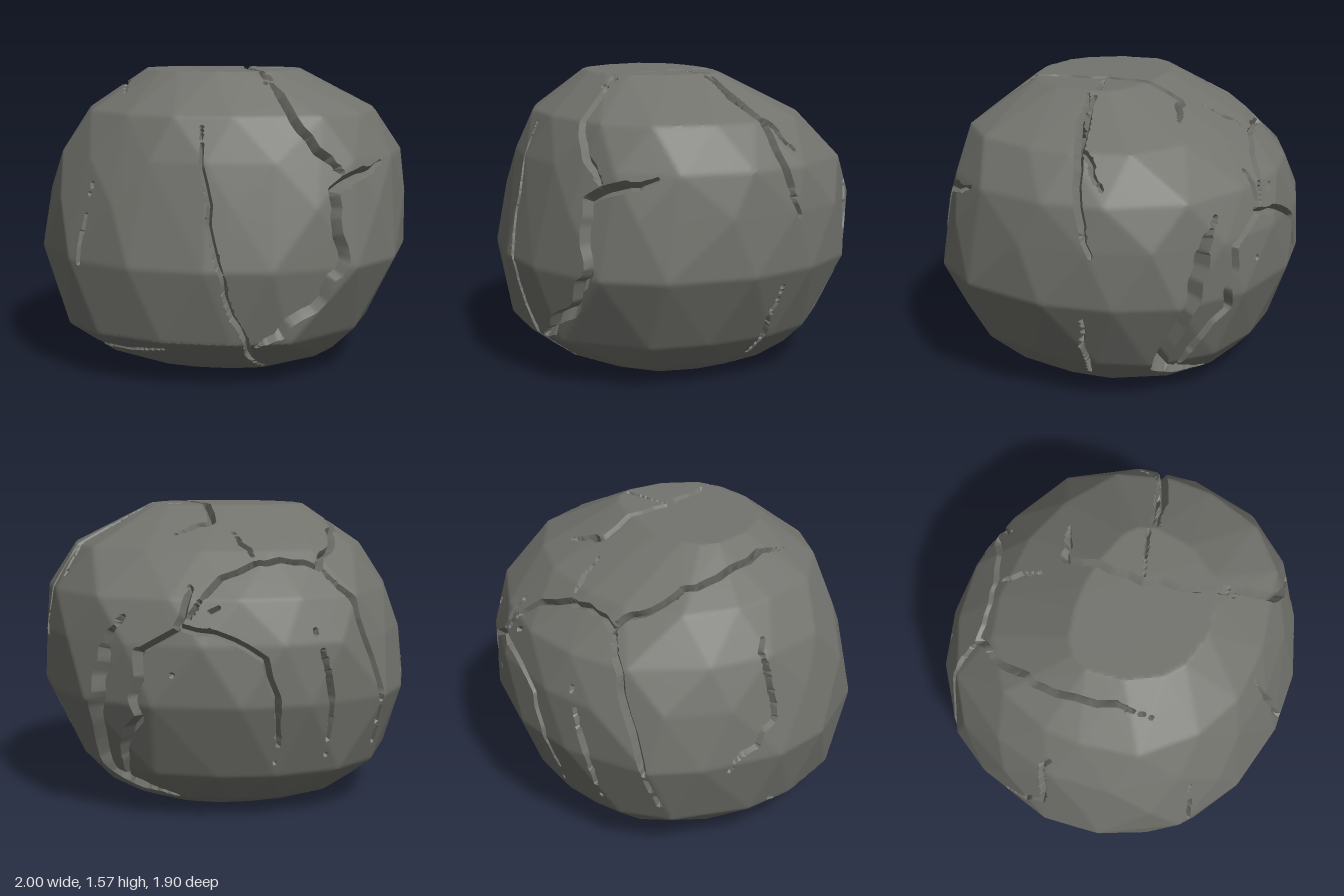
import * as THREE from 'three';
import { mergeVertices, toCreasedNormals } from 'three/addons/utils/BufferGeometryUtils.js';
import { ConvexGeometry } from 'three/addons/geometries/ConvexGeometry.js';

const V = (x, y, z) => new THREE.Vector3(x, y, z);
const { lerp, clamp } = THREE.MathUtils;
const MIDDLE = 0.78; // height of the centre the rock is shaped around

// Small seeded random, 0..1
let seed = 11;
const rnd = () => ((seed = (seed * 16807) % 2147483647) / 2147483647);

// Body sections: height, reach to -x, +x, -z, +z
const SECTIONS = [
  [0, 0.48, 0.47, 0.43, 0.46],
  [0.09, 0.7, 0.66, 0.67, 0.68],
  [0.24, 0.9, 0.8, 0.81, 0.88],
  [0.62, 1, 1, 0.95, 0.95],
  [0.92, 0.95, 1, 0.95, 0.89],
  [1.14, 0.88, 0.97, 0.87, 0.83],
  [1.36, 0.74, 0.84, 0.63, 0.75],
  [1.57, 0.42, 0.42, 0.2, 0.47],
];

// Crack paths seen from each side: half width, then u, v pairs
const FRONT = [
  [0.016, -0.03, 1.31, 0.02, 0.85, 0.14, 0.38, 0.27, 0.03],
  [0.032, 0.25, 0.23, 0.53, 0.42, 0.68, 0.66, 0.62, 1, 0.85, 1.12],
  [0.026, 0.27, 1.55, 0.45, 1.3, 0.69, 1.04],
  [0.012, -0.59, 1.03, -0.7, 0.5],
  [0.02, -0.9, 0.26, -0.7, 0.13, -0.22, 0.19],
];
const SIDE = [
  [0.024, 0, 1.56, -0.15, 1.3, -0.27, 0.9],
  [0.016, -0.2, 0.57, -0.12, 0.05],
  [0.045, -0.75, 1.05, -0.7, 0.65, -0.48, 0.2, -0.6, 0.1],
  [0.028, -0.87, 1.1, -0.8, 0.55, -0.5, 0.15],
];
const TOP = [
  [0.02, 0.33, -0.9, -0.1, -0.68, -0.42, -0.63, -0.52, -0.4, -0.56, -0.1, -0.47, 0.4],
  [0.018, -0.1, -0.68, 0, -0.46],
  [0.022, 0.3, -0.44, 0.1, -0.36, 0.12, 0.05, 0.27, 0.5],
  [0.016, 0.12, 0.06, 0.78, -0.13, 0.87, -0.3],
];
const BACK = [
  [0.022, -0.02, 0.03, 0.12, -0.41, 0.27, -0.85],
  [0.022, -0.19, -0.34, -0.07, -0.86],
  [0.02, -0.64, 0.08, -0.75, -0.1, -0.44, -0.4, -0.33, -0.82],
  [0.018, 0.66, 0.09, 0.76, -0.3, 0.58, -0.62],
];

// Facet planes of the convex body, around its centre
function bodyPlanes() {
  const pts = [];
  SECTIONS.forEach(([y, xn, xp, zn, zp], row) => {
    const stagger = row % 2 ? 0 : 0.5;
    for (let i = 0; i < 16; i++) {
      const onAxis = !stagger && i % 4 === 0;
      const a = ((i + stagger + (onAxis ? 0 : (rnd() - 0.5) * 0.4)) / 16) * Math.PI * 2;
      const c = Math.cos(a), s = Math.sin(a);
      const n = c > 0 && s > 0 ? 2.6 : 2.25;
      const k = (Math.abs(c) ** n + Math.abs(s) ** n) ** (-1 / n) * (onAxis ? 1 : 0.975 + rnd() * 0.025);
      pts.push(V(c * k * (c > 0 ? xp : xn), y - MIDDLE, s * k * (s > 0 ? zp : zn)));
    }
  });
  const p = new ConvexGeometry(pts).attributes.position;
  const planes = [];
  for (let i = 0; i < p.count; i += 3) {
    const [a, b, c] = [0, 1, 2].map((j) => V().fromBufferAttribute(p, i + j));
    const n = b.sub(a).cross(c.sub(a));
    if (n.length() < 1e-6) continue;
    n.normalize();
    planes.push({ n, d: n.dot(a) });
  }
  return planes;
}

// Move a point radially onto the body
function project(planes, p) {
  let k = 0;
  for (const { n, d } of planes) k = Math.max(k, n.dot(p) / d);
  return p.divideScalar(k);
}

// Drop a point five units out onto the body along a direction
function cast(planes, origin, dir) {
  let t = 4;
  for (const { n, d } of planes) {
    const f = n.dot(dir);
    if (f < -0.02) t = Math.max(t, (d - n.dot(origin)) / f);
  }
  return project(planes, origin.addScaledVector(dir, Math.min(t, 5)));
}

// Lay every crack on the body as short, slightly wandering segments that taper at the ends
function crackSegments(planes) {
  const toBack = V(-0.48, 0.56, -0.67).normalize();
  const right = V(0, 1, 0).cross(toBack).normalize();
  const up = toBack.clone().cross(right);
  const sides = [
    [FRONT, V(0, 0, -1), (u, v) => V(u, v - MIDDLE, 5)],
    [SIDE, V(-1, 0, 0), (u, v) => V(5, v - MIDDLE, u)],
    [TOP, V(0, -1, 0), (u, v) => V(u, 5, v)],
    [BACK, toBack.clone().negate(), (u, v) =>
      toBack.clone().multiplyScalar(5).addScaledVector(right, u).addScaledVector(up, v)],
  ];
  const segments = [];
  for (const [cracks, dir, place] of sides) {
    for (const [width, ...path] of cracks) {
      const pts = [];
      const steps = (path.length / 2 - 1) * 5;
      for (let j = 0; j <= steps; j++) {
        const i = Math.min(Math.floor(j / 5) * 2, path.length - 4);
        const t = j / 5 - i / 2;
        const wander = j % 5 ? 0.03 : 0;
        const [u, v] = [0, 1].map((k) => lerp(path[i + k], path[i + 2 + k], t) + (rnd() - 0.5) * wander);
        pts.push(cast(planes, place(u, v), dir));
      }
      for (let j = 0; j < steps; j++) {
        const w = width * Math.min(1, 0.4 + 0.3 * Math.min(j, steps - 1 - j));
        const ab = pts[j + 1].clone().sub(pts[j]);
        segments.push({ a: pts[j], ab, l2: Math.max(ab.lengthSq(), 1e-9), width: w, depth: 0.01 + w * 1.7 });
      }
    }
  }
  return segments;
}

function rockGeometry() {
  const planes = bodyPlanes();
  const segments = crackSegments(planes);
  const ball = new THREE.IcosahedronGeometry(1, 70);
  ball.deleteAttribute('uv');
  ball.deleteAttribute('normal');
  const geo = mergeVertices(ball, 1e-5);
  const pos = geo.attributes.position;
  const p = V(), q = V(), best = V();
  for (let i = 0; i < pos.count; i++) {
    project(planes, p.fromBufferAttribute(pos, i));
    let near = null, ratio = 1.3;
    for (const s of segments) {
      const t = clamp(q.subVectors(p, s.a).dot(s.ab) / s.l2, 0, 1);
      const r = q.copy(s.a).addScaledVector(s.ab, t).distanceTo(p) / s.width;
      if (r < ratio) {
        ratio = r;
        near = s;
        best.copy(q);
      }
    }
    // Pull points to the crack's floor or line them up along its lips
    if (near && ratio < 0.55) p.copy(best).setLength(best.length() - near.depth);
    else if (near) project(planes, p.sub(best).divideScalar(ratio).add(best));
    pos.setXYZ(i, p.x, p.y + MIDDLE, p.z);
  }
  return toCreasedNormals(geo, 0.45);
}

export function createModel() {
  const stone = new THREE.MeshStandardMaterial({ color: 0x73736e });
  stone.name = 'darkGreyStone';
  const rock = new THREE.Mesh(rockGeometry(), stone);
  rock.name = 'crackedBoulder';
  const group = new THREE.Group();
  group.name = 'boulder';
  group.add(rock);
  return group;
}
